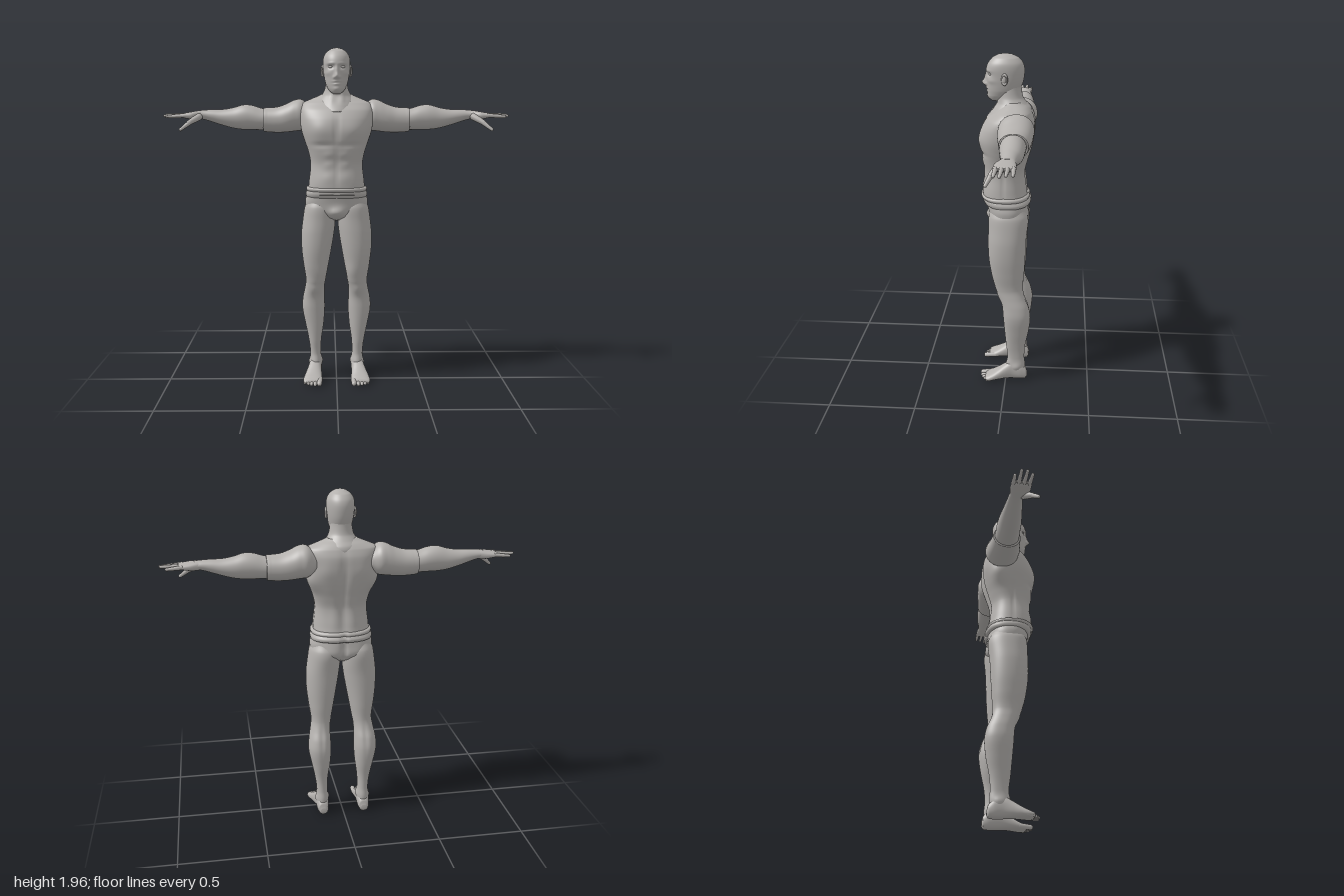
import * as THREE from 'three';

const skin = new THREE.MeshStandardMaterial({ color: 0xb4b1ae });
skin.name = 'warm grey';

// Catmull-Rom blend of one column of numbers
const blend = (a, b, c, d, t) =>
  b + 0.5 * t * (c - a + t * (2 * a - 5 * b + 4 * c - d + t * (3 * (b - c) + d - a)));

// Where (t, u, v) of a cross-section go for each loft axis
const place = {
  x: (t, u, v) => [t, v, u],
  y: (t, u, v) => [u, t, v],
  z: (t, u, v) => [v, u, t],
};

// Closed smooth body through rows [t, uMin, uMax, vMin, vMax]; power squares the sections.
// Bumps [x, y, z, rx, ry, rz, amount] push the surface away from the axis, mirrored in x.
function loft(axis, rows, { segs = 40, steps = 6, power = 2, bumps = [] } = {}) {
  const pos = [], index = [], rings = (rows.length - 1) * steps + 1;
  const row = (i) => rows[Math.min(Math.max(i, 0), rows.length - 1)];
  const add = (t, u, v, cu, cv) => {
    const p = place[axis](t, u, v), c = place[axis](t, cu, cv);
    const d = new THREE.Vector3(p[0] - c[0], p[1] - c[1], p[2] - c[2]).normalize();
    let push = 0;
    for (const [x, y, z, rx, ry, rz, amount] of bumps) {
      const px = x === 0 ? p[0] : Math.abs(p[0]);
      push += amount * Math.exp(-(((px - x) / rx) ** 2) - ((p[1] - y) / ry) ** 2 - ((p[2] - z) / rz) ** 2);
    }
    pos.push(p[0] + d.x * push, p[1] + d.y * push, p[2] + d.z * push);
  };
  const centres = [];
  for (let i = 0; i < rings; i++) {
    const k = Math.min(Math.floor(i / steps), rows.length - 2), f = i / steps - k;
    const [t, u0, u1, v0, v1] = row(k).map((_, j) =>
      j === 0 ? row(k)[0] + (row(k + 1)[0] - row(k)[0]) * f
        : blend(row(k - 1)[j], row(k)[j], row(k + 1)[j], row(k + 2)[j], f));
    const cu = (u0 + u1) / 2, cv = (v0 + v1) / 2;
    centres.push([t, cu, cv]);
    for (let s = 0; s < segs; s++) {
      const a = (s / segs) * Math.PI * 2, c = Math.cos(a), n = Math.sin(a);
      add(t, cu + (u1 - u0) / 2 * Math.sign(c) * Math.abs(c) ** (2 / power),
        cv + (v1 - v0) / 2 * Math.sign(n) * Math.abs(n) ** (2 / power), cu, cv);
    }
  }
  for (let i = 0; i < rings - 1; i++) for (let s = 0; s < segs; s++) {
    const a = i * segs + s, b = i * segs + (s + 1) % segs;
    index.push(a, a + segs, b, b, a + segs, b + segs);
  }
  const first = pos.length / 3, last = (rings - 1) * segs;
  pos.push(...place[axis](...centres[0]), ...place[axis](...centres[rings - 1]));
  for (let s = 0; s < segs; s++) {
    const n = (s + 1) % segs;
    index.push(first, s, n, first + 1, last + n, last + s);
  }
  const g = new THREE.BufferGeometry();
  g.setAttribute('position', new THREE.Float32BufferAttribute(pos, 3));
  g.setIndex(index);
  g.computeVertexNormals();
  return g;
}

// Symmetric rows [y, halfWidth, back, front]
const even = (rows) => rows.map(([y, w, b, f]) => [y, -w, w, b, f]);

// Tapered round-ended digit between two points
function digit(a, b, r0, r1) {
  const from = new THREE.Vector3(...a), dir = new THREE.Vector3(...b).sub(from);
  const len = dir.length(), pts = [new THREE.Vector2(0, -r0 * 0.6), new THREE.Vector2(r0 * 0.8, -r0 * 0.4), new THREE.Vector2(r0, 0)];
  pts.push(new THREE.Vector2((r0 + r1) / 2, len * 0.5));
  for (let i = 0; i <= 5; i++) {
    const t = (i / 5) * Math.PI / 2;
    pts.push(new THREE.Vector2(r1 * Math.cos(t), len - r1 + r1 * Math.sin(t)));
  }
  const g = new THREE.LatheGeometry(pts, 14);
  g.applyQuaternion(new THREE.Quaternion().setFromUnitVectors(new THREE.Vector3(0, 1, 0), dir.normalize()));
  return g.translate(from.x, from.y, from.z);
}

const ellipsoid = (x, y, z, rx, ry, rz) =>
  new THREE.SphereGeometry(1, 24, 16).scale(rx, ry, rz).translate(x, y, z);

function mirrored(g) {
  const m = g.clone().scale(-1, 1, 1), ix = m.index.array;
  for (let i = 0; i < ix.length; i += 3) [ix[i], ix[i + 1]] = [ix[i + 1], ix[i]];
  m.computeVertexNormals();
  return m;
}

export function createModel() {
  const model = new THREE.Group();
  const part = (name, g) => {
    const mesh = new THREE.Mesh(g, skin);
    mesh.name = name;
    model.add(mesh);
  };
  const pair = (name, g) => { part(name + 'Left', g); part(name + 'Right', mirrored(g)); };

  // Head with brow, sockets, nose, lips, chin and cheekbones
  part('head', loft('y', even([
    [1.7, 0.02, 0.03, 0.085], [1.712, 0.036, 0.0, 0.1], [1.73, 0.05, -0.035, 0.106],
    [1.76, 0.063, -0.07, 0.109], [1.8, 0.071, -0.088, 0.111], [1.84, 0.076, -0.096, 0.112],
    [1.88, 0.078, -0.097, 0.114], [1.91, 0.073, -0.088, 0.103], [1.937, 0.056, -0.065, 0.08],
    [1.954, 0.03, -0.03, 0.048], [1.96, 0.004, 0.005, 0.015],
  ]), { segs: 96, steps: 8, power: 2.1, bumps: [
    [0, 1.8, 0.11, 0.011, 0.017, 0.05, 0.025], [0, 1.83, 0.11, 0.009, 0.025, 0.05, 0.012],
    [0.013, 1.793, 0.11, 0.008, 0.008, 0.05, 0.009], [0.033, 1.85, 0.1, 0.018, 0.011, 0.05, -0.013],
    [0.03, 1.869, 0.1, 0.024, 0.007, 0.05, 0.004], [0, 1.77, 0.11, 0.022, 0.006, 0.05, 0.006],
    [0, 1.763, 0.11, 0.026, 0.003, 0.05, -0.005], [0, 1.755, 0.11, 0.018, 0.006, 0.05, 0.005],
    [0, 1.728, 0.1, 0.02, 0.012, 0.05, 0.005], [0.05, 1.815, 0.08, 0.018, 0.014, 0.04, 0.004],
  ] }));
  pair('eye', ellipsoid(0.033, 1.85, 0.086, 0.014, 0.008, 0.012));
  const ear = new THREE.TorusGeometry(0.02, 0.006, 10, 24).scale(0.75, 1.3, 1)
    .rotateY(Math.PI / 2 - 0.35).translate(0.08, 1.83, 0.008);
  pair('earRim', ear);
  pair('earLobe', ellipsoid(0.076, 1.822, 0.012, 0.007, 0.024, 0.014));

  // Neck flowing into the collar
  part('neck', loft('y', even([
    [1.6, 0.1, -0.12, 0.118], [1.635, 0.112, -0.14, 0.094], [1.665, 0.108, -0.135, 0.07],
    [1.69, 0.088, -0.112, 0.055], [1.72, 0.07, -0.09, 0.052], [1.76, 0.062, -0.082, 0.052], [1.8, 0.058, -0.08, 0.04],
  ]), { segs: 64, bumps: [[0.03, 1.67, 0.06, 0.014, 0.04, 0.04, 0.006], [0, 1.715, 0.05, 0.01, 0.014, 0.03, 0.006]] }));

  // Torso with chest, belly, ribs, shoulder blades, spine and side seams
  part('torso', loft('y', even([
    [1.13, 0.165, -0.125, 0.135], [1.2, 0.16, -0.112, 0.136], [1.3, 0.15, -0.102, 0.124],
    [1.37, 0.162, -0.12, 0.135], [1.44, 0.185, -0.142, 0.147], [1.5, 0.203, -0.153, 0.15],
    [1.56, 0.21, -0.157, 0.138], [1.61, 0.21, -0.155, 0.108], [1.65, 0.195, -0.14, 0.06],
    [1.675, 0.14, -0.12, 0.03], [1.7, 0.085, -0.09, 0.01],
  ]), { segs: 112, steps: 7, power: 2.5, bumps: [
    [0.085, 1.5, 0.14, 0.06, 0.055, 0.06, 0.01], [0, 1.5, 0.15, 0.012, 0.07, 0.05, -0.008],
    [0.08, 1.415, 0.14, 0.07, 0.014, 0.06, -0.008], [0, 1.27, 0.13, 0.011, 0.12, 0.05, -0.004],
    [0.045, 1.36, 0.13, 0.03, 0.02, 0.05, 0.004], [0.045, 1.3, 0.13, 0.03, 0.02, 0.05, 0.005],
    [0.045, 1.23, 0.13, 0.035, 0.03, 0.05, 0.004], [0, 1.4, -0.14, 0.02, 0.22, 0.06, -0.016],
    [0.1, 1.53, -0.15, 0.05, 0.06, 0.05, 0.008], [0.18, 1.46, -0.09, 0.05, 0.06, 0.06, 0.016],
    [0.05, 1.25, -0.11, 0.03, 0.1, 0.04, 0.006], [0.16, 1.3, 0.012, 0.06, 0.16, 0.009, -0.005],
  ] }));

  // Pelvis, glutes and rolled waistband
  part('pelvis', loft('y', even([
    [0.975, 0.03, -0.06, 0.05], [0.995, 0.085, -0.09, 0.085], [1.03, 0.165, -0.118, 0.1],
    [1.08, 0.182, -0.122, 0.108], [1.13, 0.172, -0.12, 0.118], [1.16, 0.165, -0.115, 0.125],
  ]), { segs: 80, power: 2.3, bumps: [
    [0, 1.025, 0.1, 0.038, 0.03, 0.05, 0.022], [0.075, 1.04, -0.11, 0.055, 0.05, 0.06, 0.012],
    [0, 1.04, -0.11, 0.013, 0.08, 0.06, -0.025],
  ] }));
  part('waistband', loft('y', even([
    [1.108, 0.166, -0.12, 0.11], [1.115, 0.176, -0.136, 0.125], [1.13, 0.179, -0.141, 0.134],
    [1.143, 0.175, -0.135, 0.137], [1.148, 0.172, -0.131, 0.137], [1.155, 0.176, -0.134, 0.145],
    [1.166, 0.174, -0.129, 0.146], [1.174, 0.16, -0.115, 0.13],
  ]), { segs: 80, steps: 4, power: 2.4, bumps: [[0, 1.13, -0.14, 0.012, 0.05, 0.05, -0.014], [0, 1.12, 0.13, 0.012, 0.03, 0.05, -0.006]] }));

  // Legs: rows [y, inner, outer, back, front]
  pair('leg', loft('y', [
    [0.05, 0.09, 0.16, -0.115, 0.0], [0.1, 0.09, 0.16, -0.118, -0.002], [0.15, 0.094, 0.158, -0.113, -0.012],
    [0.23, 0.091, 0.167, -0.118, -0.003], [0.33, 0.077, 0.187, -0.138, 0.006], [0.43, 0.07, 0.205, -0.149, 0.014],
    [0.5, 0.072, 0.2, -0.137, 0.02], [0.56, 0.072, 0.188, -0.112, 0.038], [0.61, 0.064, 0.182, -0.102, 0.06],
    [0.7, 0.048, 0.194, -0.108, 0.083], [0.8, 0.03, 0.205, -0.113, 0.098], [0.9, 0.014, 0.206, -0.117, 0.102],
    [0.98, 0.006, 0.197, -0.121, 0.1], [1.05, 0.008, 0.186, -0.12, 0.098], [1.1, 0.03, 0.165, -0.1, 0.08],
  ], { segs: 48, power: 2.15, bumps: [
    [0.125, 0.56, 0.035, 0.03, 0.03, 0.03, 0.008], [0.09, 0.67, 0.05, 0.03, 0.05, 0.04, 0.007],
    [0.13, 0.5, -0.13, 0.012, 0.1, 0.04, -0.006], [0.1, 1.02, -0.12, 0.06, 0.06, 0.05, 0.007],
    [0.09, 0.1, -0.055, 0.03, 0.02, 0.025, 0.008], [0.16, 0.09, -0.065, 0.03, 0.02, 0.025, 0.008],
  ] }));

  // Feet: rows [z, bottom, top, inner, outer]
  pair('foot', loft('z', [
    [-0.13, 0.018, 0.045, 0.108, 0.142], [-0.122, 0.004, 0.075, 0.096, 0.154], [-0.09, 0, 0.11, 0.089, 0.162],
    [-0.04, 0.002, 0.122, 0.089, 0.165], [0.0, 0.004, 0.1, 0.09, 0.174], [0.05, 0.002, 0.068, 0.087, 0.189],
    [0.09, 0, 0.046, 0.085, 0.198], [0.115, 0.003, 0.034, 0.09, 0.195], [0.122, 0.01, 0.024, 0.1, 0.185],
  ], { segs: 36, power: 2.3 }));
  for (let i = 0; i < 5; i++) {
    const x = [0.102, 0.128, 0.149, 0.168, 0.186][i], r = [0.016, 0.0115, 0.011, 0.0105, 0.01][i];
    pair('toe' + (i + 1), digit([x - 0.002, r + 0.008, 0.08], [x, r, [0.155, 0.153, 0.145, 0.134, 0.12][i]], r, r * 0.9));
  }

  // Arms: rows [x, back, front, bottom, top]
  pair('upperArm', loft('x', [
    [0.15, -0.13, 0.0, 1.52, 1.63], [0.2, -0.16, 0.03, 1.492, 1.668], [0.24, -0.16, 0.034, 1.486, 1.667],
    [0.29, -0.156, 0.032, 1.48, 1.644], [0.34, -0.15, 0.024, 1.478, 1.627], [0.39, -0.144, 0.018, 1.48, 1.622],
    [0.422, -0.14, 0.015, 1.484, 1.62], [0.424, -0.128, 0.005, 1.496, 1.608],
  ], { segs: 48, power: 2.15 }));
  pair('forearm', loft('x', [
    [0.38, -0.13, 0.005, 1.495, 1.61], [0.43, -0.132, 0.006, 1.493, 1.617], [0.49, -0.132, 0.004, 1.494, 1.635],
    [0.54, -0.13, 0.002, 1.495, 1.638], [0.6, -0.126, -0.005, 1.503, 1.622], [0.66, -0.118, -0.012, 1.519, 1.612],
    [0.72, -0.108, -0.02, 1.538, 1.611], [0.77, -0.101, -0.024, 1.553, 1.608], [0.81, -0.098, -0.018, 1.558, 1.604],
  ], { segs: 40 }));

  // Hands
  pair('palm', loft('x', [
    [0.77, -0.097, -0.028, 1.557, 1.604], [0.8, -0.1, -0.014, 1.553, 1.604], [0.83, -0.104, 0.003, 1.553, 1.6],
    [0.86, -0.105, 0.005, 1.558, 1.595], [0.885, -0.103, 0.004, 1.563, 1.591], [0.898, -0.094, -0.006, 1.57, 1.586],
  ], { segs: 32, power: 2.5 }));
  for (let i = 0; i < 4; i++) {
    const z = -0.009 - i * 0.028, tip = [0.98, 1.0, 0.995, 0.965][i];
    pair('finger' + (i + 1), digit([0.875, 1.578, z], [tip, 1.57 + 0.005 * (i % 3), z + 0.004 - i * 0.002], 0.0125, 0.0085));
  }
  pair('thumbBase', digit([0.79, 1.572, -0.025], [0.858, 1.53, 0.022], 0.021, 0.014));
  pair('thumb', digit([0.84, 1.54, 0.012], [0.898, 1.493, 0.042], 0.014, 0.009));
  return model;
}
